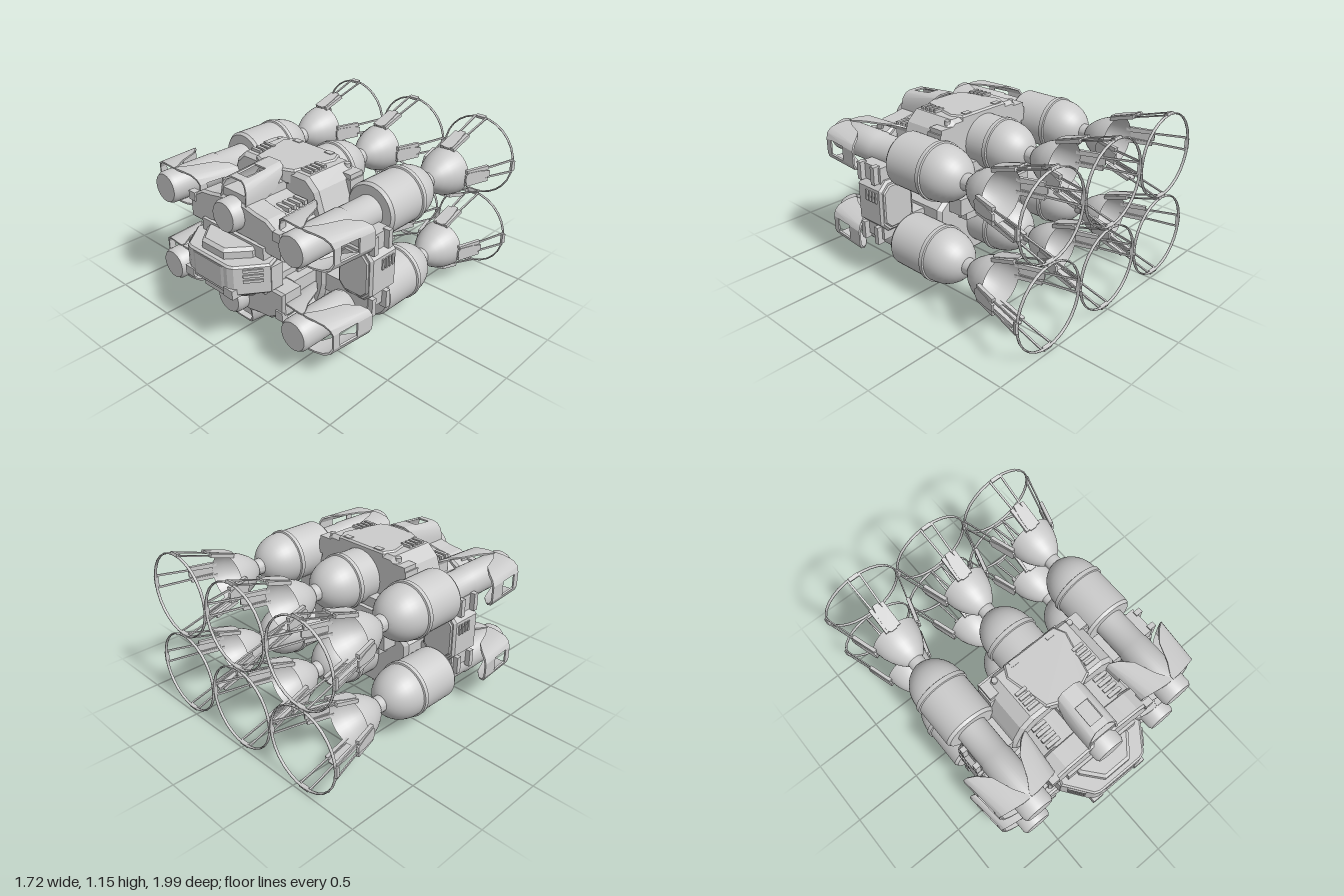
import * as THREE from 'three';
import { toCreasedNormals } from 'three/addons/utils/BufferGeometryUtils.js';

const MID = 0.57; // height of the symmetry plane
const grey = new THREE.MeshStandardMaterial({ color: 0xcccccc });
const sheet = new THREE.MeshStandardMaterial({ color: 0xcccccc, side: THREE.DoubleSide });

function add(parent, name, geometry, x = 0, y = 0, z = 0, material = grey) {
  const mesh = new THREE.Mesh(geometry, material);
  mesh.name = name;
  mesh.position.set(x, y, z);
  parent.add(mesh);
  return mesh;
}

// Box given by its limits on each axis
function block(parent, name, x0, x1, y0, y1, z0, z1) {
  return add(parent, name, new THREE.BoxGeometry(x1 - x0, y1 - y0, z1 - z0),
    (x0 + x1) / 2, (y0 + y1) / 2, (z0 + z1) / 2);
}

// Extrude an outline of [x, y] points from z0 to z1 with a chamfer of size b
function prism(pts, z0, z1, b = 0) {
  const shape = new THREE.Shape(pts.map(p => new THREE.Vector2(p[0], p[1])));
  return new THREE.ExtrudeGeometry(shape, {
    depth: z1 - z0 - 2 * b, bevelEnabled: b > 0, bevelSize: b, bevelThickness: b, bevelOffset: -b, bevelSegments: 1,
  }).translate(0, 0, z0 + b);
}
const mirrored = pts => [...pts, ...pts.map(([x, y]) => [-x, y]).reverse()];
// Extrude an outline of [x, z] points upward from y0 to y1
const slab = (pts, y0, y1, b) => prism(pts.map(([x, z]) => [x, -z]), y0, y1, b).rotateX(-Math.PI / 2);

// Turned body along z from [radius, z] points
const turned = (pts, n = 40) => toCreasedNormals(
  new THREE.LatheGeometry(pts.map(p => new THREE.Vector2(p[0], p[1])), n).rotateX(Math.PI / 2), 0.6);

// Skin four-cornered sections into a solid strip
function loft(sections) {
  const pos = sections.flat(2), idx = [0, 1, 2, 0, 2, 3], last = (sections.length - 1) * 4;
  for (let s = 0; s < last; s += 4)
    for (let k = 0; k < 4; k++) {
      const a = s + k, b = s + (k + 1) % 4;
      idx.push(a, a + 4, b, b, a + 4, b + 4);
    }
  idx.push(last, last + 2, last + 1, last, last + 3, last + 2);
  const g = new THREE.BufferGeometry();
  g.setAttribute('position', new THREE.Float32BufferAttribute(pos, 3));
  g.setIndex(idx);
  return toCreasedNormals(g, 0.6);
}

// Claw-like shield reaching out along +x from a thruster's front tube
function shield() {
  const g = new THREE.Group();
  g.name = 'shield';
  const at = (u, v, z) => [u * (1 - 0.12 * (z - 0.43) / 0.32), v, z];
  const section = ([u, v, back, front]) => {
    const ui = u - (u > 0.15 ? 0.012 : 0), vi = v * 0.9;
    return [at(u, v, back), at(u, v, front), at(ui, vi, front), at(ui, vi, back)];
  };
  const plate = [[0.005, 0.114, 0.75, 0.775], [0.06, 0.116, 0.67, 0.775], [0.11, 0.115, 0.54, 0.77],
    [0.18, 0.108, 0.47, 0.76], [0.225, 0.085, 0.44, 0.75], [0.242, 0.05, 0.43, 0.74]];
  for (const s of [1, -1])
    add(g, 'shieldPlate', loft(plate.map(([u, v, b, f]) => section([u, v * s, b, f]))), 0, 0, 0, sheet);
  // end wall, leaving a window between two straps
  for (const [b, f] of [[0.43, 0.55], [0.69, 0.74]])
    add(g, 'shieldStrap', loft([0.05, -0.05].map(v => section([0.242, v, b, f]))), 0, 0, 0, sheet);
  return g;
}

// One of the arms holding the rear hoop, reaching up and back from the bell rim
function hoopArm() {
  const g = new THREE.Group();
  g.name = 'hoopArm';
  const pivot = new THREE.Group();
  pivot.position.set(0, 0.167, -0.6);
  pivot.rotation.x = 0.294;
  g.add(pivot);
  for (const s of [1, -1]) {
    const rail = add(pivot, 'rail', new THREE.BoxGeometry(0.013, 0.008, 0.39), s * 0.035, 0, -0.195);
    rail.rotation.y = s * -0.04;
    block(pivot, 'railClamp', s * 0.042 - 0.013, s * 0.042 + 0.013, -0.008, 0.016, -0.16, 0.02);
  }
  add(pivot, 'clampPlate', slab(mirrored([[0.022, 0.03], [0.04, 0.01], [0.035, -0.09], [0.02, -0.17]]), 0.006, 0.02));
  block(pivot, 'hoopClamp', -0.035, 0.035, -0.01, 0.01, -0.4, -0.375);
  return g;
}

function thruster(x) {
  const g = new THREE.Group();
  g.name = 'thruster';
  g.position.set(x, 0.285, 0);
  const dome = [];
  for (let i = 1; i <= 10; i++) {
    const a = i / 10 * Math.PI / 2;
    dome.push([0.18 * Math.sin(a), -0.13 - 0.215 * Math.cos(a)]);
  }
  add(g, 'tank', turned([[0.0, -0.345], ...dome, [0.18, 0.18], [0.165, 0.2], [0, 0.2]]));
  add(g, 'tankBand', turned([[0.178, -0.125], [0.19, -0.12], [0.19, -0.092], [0.178, -0.087]]));
  add(g, 'frontTube', turned([[0.104, 0.19], [0.104, 0.43], [0.11, 0.44], [0.107, 0.835], [0.094, 0.857], [0, 0.857]]));
  add(g, 'neck', turned([[0.055, -0.39], [0.055, -0.32]]));
  add(g, 'bell', turned([[0.166, -0.61], [0.163, -0.59], [0.15, -0.53], [0.13, -0.48], [0.1, -0.43],
    [0.07, -0.395], [0.05, -0.38]]), 0, 0, 0, sheet);
  add(g, 'hoop', new THREE.TorusGeometry(0.277, 0.006, 6, 28).scale(1, 1, 1.7), 0, 0, -0.977);
  for (let k = 0; k < 4; k++) {
    const arm = hoopArm();
    arm.rotation.z = k * Math.PI / 2;
    g.add(arm);
  }
  // shields: both sides on outer thrusters, outward only on the middle one
  for (const a of x === 0 ? [Math.PI / 2] : [0, Math.PI]) {
    const s = shield();
    s.rotation.z = a;
    g.add(s);
  }
  return g;
}

// Upper half of the craft, heights measured from the symmetry plane
function half() {
  const g = new THREE.Group();
  g.name = 'hullHalf';
  for (const x of [-0.57, 0, 0.57]) g.add(thruster(x));
  add(g, 'hull', prism(mirrored([[0.28, 0.49], [0.36, 0.42], [0.41, 0.28], [0.43, 0.2], [0.43, 0.1], [0.31, 0]]), 0.06, 0.44, 0.025));
  add(g, 'topPanel', slab(mirrored([[0.2, 0.06], [0.24, 0.14], [0.17, 0.43], [0.1, 0.46]]), 0.4, 0.5, 0.012));
  block(g, 'sideArm', -0.62, 0.66, 0.12, 0.24, 0.21, 0.42);
  // shoulders around the middle tube
  const shoulder = [[0.1, 0.37], [0.2, 0.35], [0.29, 0.34], [0.42, 0.26], [0.42, 0.11], [0.3, 0.11], [0.2, 0.15]];
  add(g, 'shoulderFront', prism(mirrored(shoulder), 0.62, 0.78, 0.015));
  add(g, 'shoulderRear', prism(mirrored(shoulder.map(([x, y]) => [x * 0.85, y])), 0.42, 0.63));
  block(g, 'tubeHousing', -0.11, 0.11, 0.2, 0.42, 0.42, 0.76);
  block(g, 'noseBridge', -0.28, 0.28, 0.07, 0.16, 0.5, 0.8);
  block(g, 'rearBox', -0.34, 0.33, 0.015, 0.13, -0.05, 0.2);
  block(g, 'rearBoxCap', -0.26, 0.26, 0.11, 0.2, -0.02, 0.1);
  for (const s of [1, -1]) {
    for (let i = 0; i < 4; i++) {
      block(g, 'vent', s * 0.225 - 0.04, s * 0.225 + 0.04, 0.47, 0.508, 0.25 + i * 0.038, 0.272 + i * 0.038);
      block(g, 'shoulderRib', s * 0.25 - 0.05, s * 0.25 + 0.05, 0.33, 0.357, 0.45 + i * 0.045, 0.475 + i * 0.045);
    }
    block(g, 'cornerBracket', s * 0.31 - 0.08, s * 0.31 + 0.08, 0.38, 0.45, 0.06, 0.17);
    block(g, 'bracketFoot', s * 0.37 - 0.03, s * 0.37 + 0.03, 0.32, 0.42, 0.06, 0.18);
    add(g, 'bracketBolt', new THREE.CylinderGeometry(0.02, 0.02, 0.05, 12), s * 0.3, 0.46, 0.1);
    block(g, 'roofBlock', s * 0.14 - 0.03, s * 0.14 + 0.03, 0.48, 0.505, 0.07, 0.11);
    block(g, 'shoulderLatch', s * 0.385 - 0.03, s * 0.385 + 0.03, 0.24, 0.3, 0.745, 0.79);
  }
  return g;
}

// Side pod joining the upper and lower arms; out is the outward x direction
function pod(cx, out) {
  const g = new THREE.Group();
  g.name = 'sidePod';
  g.position.set(cx, MID, 0);
  const w = 0.133, h = 0.175, c = 0.055;
  const octagon = k => mirrored([[(w - c) * k, h * k], [w * k, (h - c) * k], [w * k, (c - h) * k], [(w - c) * k, -h * k]]);
  add(g, 'podBody', prism(octagon(1), 0.2, 0.43, 0.015));
  add(g, 'podPanel', prism(octagon(0.84), 0.19, 0.442, 0.008));
  block(g, 'podCore', -0.1, 0.1, -0.24, 0.26, 0.23, 0.42);
  for (let i = 0; i < 4; i++)
    block(g, 'podRib', out * w - 0.01, out * w + 0.01, 0.03, 0.1, 0.235 + i * 0.03, 0.25 + i * 0.03);
  for (const s of [1, -1]) {
    block(g, 'podLatch', out * 0.11 - 0.025, out * 0.11 + 0.025, s * 0.21 - 0.06, s * 0.21 + 0.06, 0.25, 0.285);
    block(g, 'podLatch', out * 0.11 - 0.025, out * 0.11 + 0.025, s * 0.21 - 0.06, s * 0.21 + 0.06, 0.38, 0.415);
  }
  return g;
}

// Faceted nose module
function nose() {
  const g = new THREE.Group();
  g.name = 'nose';
  g.position.y = MID;
  add(g, 'noseBody', slab(mirrored([[0.3, 0.7], [0.34, 0.8], [0.21, 0.975], [0.17, 0.99]]), -0.12, 0.08, 0.012));
  add(g, 'noseCore', slab(mirrored([[0.2, 0.69], [0.21, 0.82], [0.1, 0.95]]), -0.2, 0.145, 0.02));
  add(g, 'noseFace', slab(mirrored([[0.2, 0.8], [0.2, 0.975], [0.12, 0.995]]), -0.09, 0.06));
  for (const s of [1, -1]) {
    block(g, 'noseBracket', s * 0.18 - 0.04, s * 0.18 + 0.04, -0.13, -0.07, 0.9, 1.0);
    for (let i = 0; i < 3; i++) {
      const rib = add(g, 'noseRib', new THREE.BoxGeometry(0.015, 0.018, 0.12), s * 0.28, -0.02 + i * 0.035, 0.885);
      rib.rotation.y = s * -0.64;
    }
    block(g, 'noseCheek', s * 0.31 - 0.035, s * 0.31 + 0.035, -0.1, 0.06, 0.71, 0.8);
  }
  return g;
}

export function createModel() {
  const model = new THREE.Group();
  model.name = 'thrusterCraft';
  const upper = half(), lower = half();
  upper.position.y = lower.position.y = MID;
  lower.rotation.z = Math.PI;
  model.add(upper, lower, nose(), pod(-0.575, -1), pod(0.66, 1));
  block(model, 'core', -0.3, 0.3, MID - 0.25, MID + 0.25, 0.06, 0.54);
  return model;
}
